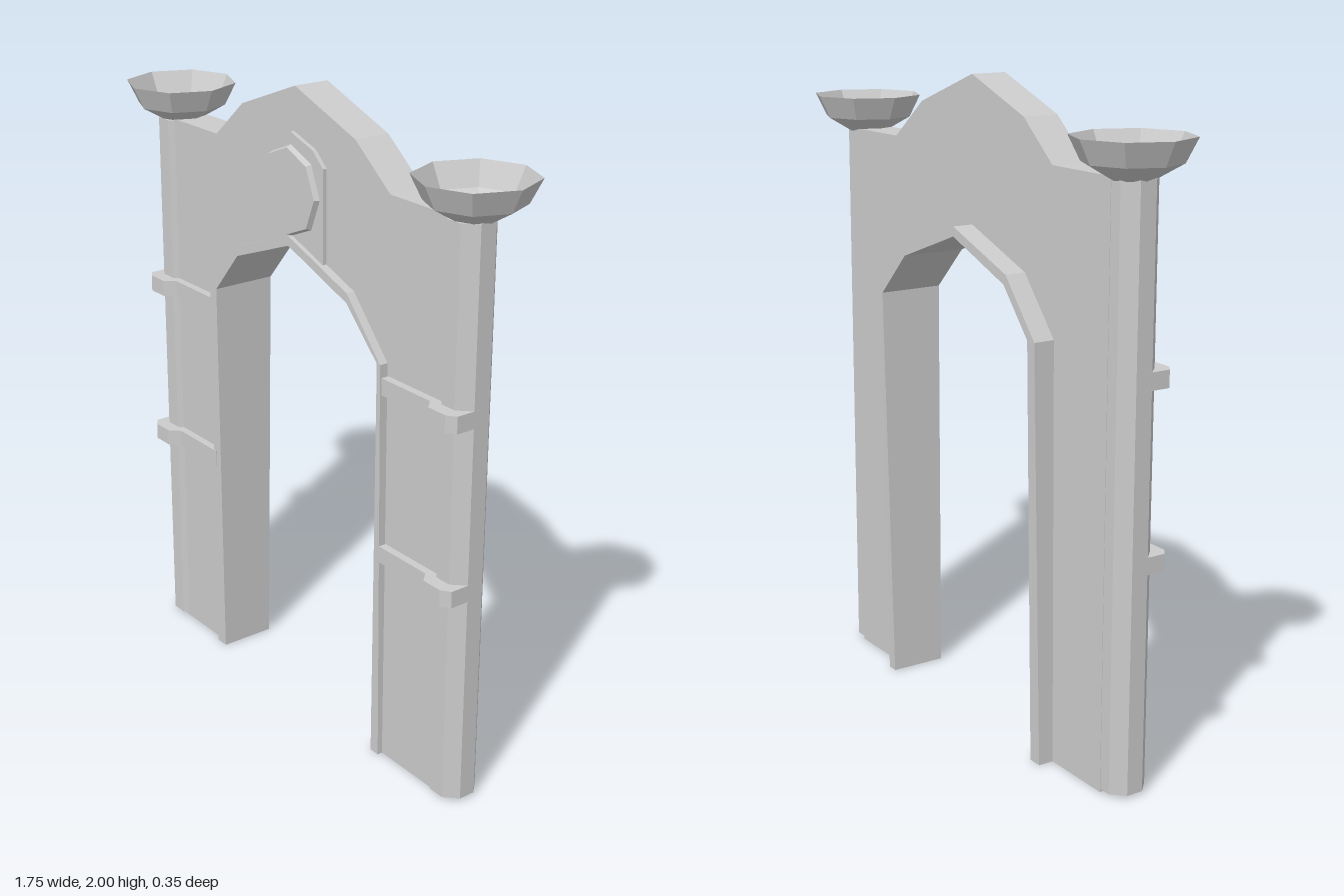
import * as THREE from 'three';

const mat = new THREE.MeshStandardMaterial({ color: 0xcccccc, flatShading: true, side: THREE.DoubleSide });

// Arch opening and the outer edge of its trim, left foot to right foot
const INNER = [[-0.41, 0], [-0.405, 1.29], [-0.285, 1.43], [-0.02, 1.53], [0.26, 1.43], [0.4, 1.29], [0.385, 0]];
const OUTER = [[-0.455, 0], [-0.44, 1.29], [-0.295, 1.46], [-0.02, 1.56], [0.26, 1.46], [0.415, 1.29], [0.42, 0]];

function shapeOf(points) {
  return new THREE.Shape(points.map(([x, y]) => new THREE.Vector2(x, y)));
}

function extrude(points, back, front) {
  const geo = new THREE.ExtrudeGeometry(shapeOf(points), { depth: front - back, bevelEnabled: false });
  return geo.translate(0, 0, back);
}

function add(parent, name, geo) {
  const mesh = new THREE.Mesh(geo, mat);
  mesh.name = name;
  parent.add(mesh);
  return mesh;
}

export function createModel() {
  const model = new THREE.Group();
  model.name = 'gateway';

  // Wall with a peaked top, cut out along the middle of the trim
  const wallTop = [[0.68, 0], [0.68, 1.78], [0.415, 1.78], [0.26, 1.9], [-0.02, 2], [-0.285, 1.9], [-0.425, 1.78], [-0.69, 1.78], [-0.69, 0]];
  const cut = OUTER.map(([x, y], i) => [(x + INNER[i][0]) / 2, (y + INNER[i][1]) / 2]);
  add(model, 'wall', extrude([...cut, ...wallTop], -0.063, 0.053));

  // Arch trim, running through the wall and slightly thinner at its feet
  const trim = extrude([...INNER, ...[...OUTER].reverse()], -0.13, 0.08);
  const p = trim.attributes.position;
  for (let i = 0; i < p.count; i++) {
    const foot = 1 - Math.min(p.getY(i) / 1.29, 1);
    p.setZ(i, p.getZ(i) + (p.getZ(i) < 0 ? 0.018 : -0.01) * foot);
  }
  trim.computeVertexNormals();
  add(model, 'archTrim', trim);

  // Plaque above the arch with an octagonal medallion
  add(model, 'plaque', extrude([
    [-0.18, 1.5], [-0.02, 1.56], [0.13, 1.5], [0.13, 1.79], [0.08, 1.835], [-0.025, 1.868], [-0.13, 1.835], [-0.18, 1.79],
  ], 0.04, 0.066));
  const medallion = add(model, 'medallion', new THREE.CylinderGeometry(0.13, 0.143, 0.03, 8));
  medallion.rotation.x = Math.PI / 2;
  medallion.position.set(-0.022, 1.695, 0.067);

  // Column, bowl and bands on each side
  for (const s of [-1, 1]) {
    const side = new THREE.Group();
    side.name = s > 0 ? 'leftPost' : 'rightPost';
    side.position.x = -0.005;
    model.add(side);

    const column = add(side, 'column', new THREE.CylinderGeometry(0.07, 0.07, 1.765, 8));
    column.rotation.y = Math.PI / 8;
    column.position.set(s * 0.698, 0.8925, 0.003);

    const profile = [[0, 1.77], [0.062, 1.77], [0.14, 1.815], [0.175, 1.885]].map(([r, y]) => new THREE.Vector2(r, y));
    const bowl = add(side, 'bowl', new THREE.LatheGeometry(profile, 8));
    bowl.position.set(s * 0.7, 0, -0.004);

    // Bands wrap the column front and run to the arch trim
    const plan = [[0.763, 0.01], [0.763, 0.09], [0.735, 0.11], [0.665, 0.11], [0.635, 0.078], [0.425, 0.078], [0.425, 0.01]];
    for (const y of [0.67, 1.2]) {
      const band = extrude(plan.map(([x, z]) => [s * x, -z]), 0, 0.052);
      band.rotateX(-Math.PI / 2);
      add(side, 'band', band).position.y = y;
    }
  }
  return model;
}
